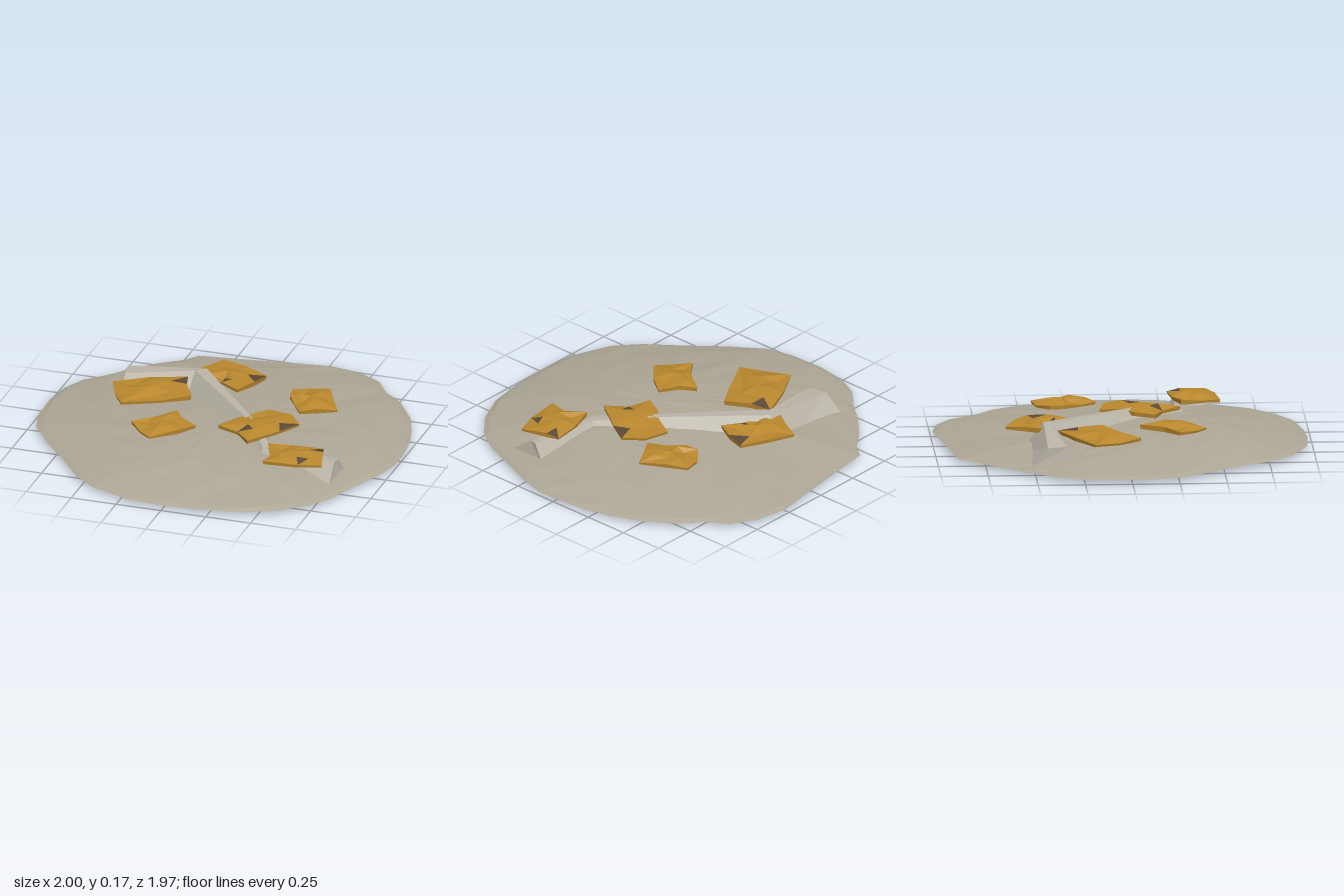
import * as THREE from 'three';

const mat = (name, color, side = THREE.FrontSide) => {
  const m = new THREE.MeshStandardMaterial({ color, side, flatShading: true });
  m.name = name;
  return m;
};

// small seeded noise in -1..1
function seeded(seed) {
  let s = seed;
  return () => ((s = (s * 16807) % 2147483647) / 2147483647) * 2 - 1;
}

function facets(points, faces) {
  const g = new THREE.BufferGeometry();
  g.setAttribute('position', new THREE.Float32BufferAttribute(points.flat(), 3));
  g.setIndex(faces.flat());
  const flat = g.toNonIndexed();
  flat.computeVertexNormals();
  return flat;
}

// outlines as x, z pairs, running clockwise seen from above
const pairs = (a) => Array.from({ length: a.length / 2 }, (_, i) => [a[2 * i], a[2 * i + 1]]);

const MOUND = pairs([
  -0.43, -0.89, -0.1, -0.935, 0.1, -0.965, 0.27, -0.99, 0.44, -0.96, 0.58, -0.88, 0.66, -0.76, 0.76, -0.68,
  0.88, -0.5, 0.94, -0.35, 0.98, -0.2, 1, -0.03, 1, 0.1, 0.96, 0.25, 0.89, 0.42, 0.82, 0.6, 0.74, 0.73,
  0.6, 0.85, 0.43, 0.93, 0.2, 0.97, 0, 0.98, -0.2, 0.965, -0.42, 0.88, -0.55, 0.77, -0.68, 0.6,
  -0.83, 0.42, -0.95, 0.25, -0.99, 0.1, -0.995, -0.1, -0.97, -0.27, -0.91, -0.4, -0.86, -0.45, -0.79, -0.52,
  -0.72, -0.61, -0.6, -0.73, -0.48, -0.82]);

const CHIPS = [
  [-0.2, -0.63, -0.05, -0.57, 0.08, -0.5, 0.05, -0.39, -0.01, -0.28, -0.12, -0.35, -0.26, -0.38, -0.3, -0.44, -0.25, -0.52],
  [-0.67, -0.18, -0.5, -0.28, -0.31, -0.36, -0.28, -0.25, -0.21, -0.12, -0.35, -0.03, -0.54, 0.07, -0.61, -0.04],
  [0.27, -0.37, 0.35, -0.44, 0.45, -0.46, 0.5, -0.35, 0.57, -0.22, 0.47, -0.17, 0.39, -0.12, 0.34, -0.2, 0.28, -0.29],
  [-0.41, 0.28, -0.31, 0.21, -0.22, 0.08, -0.17, 0.16, -0.07, 0.22, -0.14, 0.32, -0.26, 0.43, -0.33, 0.37],
  [0.22, -0.11, 0.36, -0.08, 0.44, 0.02, 0.37, 0.14, 0.25, 0.32, 0.16, 0.22, 0.04, 0.18, 0.1, 0.07, 0.17, 0],
  [0.37, 0.33, 0.5, 0.29, 0.66, 0.27, 0.68, 0.34, 0.72, 0.48, 0.6, 0.52, 0.41, 0.54, 0.42, 0.45],
].map(pairs);

// bridges closed rings of n points, listed from the centre outward
function bridge(ringA, ringB, n) {
  const f = [];
  for (let i = 0; i < n; i++) {
    const j = (i + 1) % n;
    f.push([ringA + i, ringB + j, ringB + i], [ringA + i, ringA + j, ringB + j]);
  }
  return f;
}

// low hollow dome: rings shrinking toward an apex, with a small undercut lip
function moundGeometry() {
  const rnd = seeded(11), n = MOUND.length, cx = 0, cz = 0.22;
  const rings = [[0.25, 0.109], [0.42, 0.098], [0.58, 0.084], [0.74, 0.066], [0.88, 0.047], [0.96, 0.034], [1, 0.022], [0.96, 0.017]];
  const pts = [[cx, 0.115, cz]], faces = [];
  rings.forEach(([t, y], r) => {
    const wobble = r < 6 ? 0.003 : 0.001;
    MOUND.forEach(([x, z]) => {
      const s = r < 6 ? t + rnd() * 0.015 : t;
      pts.push([cx + (x - cx) * s, y + rnd() * wobble, cz + (z - cz) * s]);
    });
    if (r > 0) faces.push(...bridge(1 + (r - 1) * n, 1 + r * n, n));
  });
  for (let i = 0; i < n; i++) faces.push([0, 1 + (i + 1) % n, 1 + i]);
  return facets(pts, faces);
}

// open-bottomed ridge: each section is back foot, back top, front top, front foot, top height
function veinGeometry() {
  const sections = [
    [[-0.69, -0.56], [-0.67, -0.43], [-0.65, -0.33], [-0.64, -0.2], 0.13],
    [[-0.18, -0.56], [-0.23, -0.43], [-0.28, -0.39], [-0.3, -0.22], 0.175],
    [[0.3, 0.02], [0.215, 0.08], [0.195, 0.1], [0.08, 0.16], 0.155],
    [[0.43, 0.2], [0.37, 0.29], [0.34, 0.32], [0.29, 0.41], 0.12],
    [[0.79, 0.25], [0.765, 0.34], [0.755, 0.38], [0.77, 0.55], 0.125],
  ];
  const pts = [], faces = [];
  sections.forEach(([a, b, c, d, y], s) => {
    pts.push([a[0], 0, a[1]], [b[0], y, b[1]], [c[0], y, c[1]], [d[0], 0, d[1]]);
    if (s === 0) return;
    const p = (s - 1) * 4, q = s * 4;
    for (let k = 0; k < 3; k++) {
      faces.push([p + k, p + k + 1, q + k], [p + k + 1, q + k + 1, q + k]);
    }
  });
  const e = pts.length - 4;
  faces.push([0, 2, 1], [0, 3, 2], [e, e + 1, e + 2], [e, e + 2, e + 3]);
  return facets(pts, faces);
}

// lumpy flat-bottomed chip; a few top facets take the second material
function chipGeometry(outline, seed, darkCount) {
  const rnd = seeded(seed), n = outline.length;
  const cx = outline.reduce((a, p) => a + p[0], 0) / n;
  const cz = outline.reduce((a, p) => a + p[1], 0) / n;
  const pts = [];
  const ring = (t, y, wobble) => outline.forEach(([x, z]) => {
    pts.push([cx + (x - cx) * t, y + rnd() * wobble, cz + (z - cz) * t]);
  });
  ring(0.5, 0.157, 0.014);
  ring(1, 0.148, 0.01);
  ring(0.98, 0.13, 0.003);
  pts.push([cx, 0.168, cz], [cx, 0.128, cz]);
  const faces = [...bridge(0, n, n), ...bridge(n, 2 * n, n)];
  for (let i = 0; i < n; i++) {
    const j = (i + 1) % n;
    faces.push([3 * n, j, i], [3 * n + 1, 2 * n + i, 2 * n + j]);
  }
  // chosen facets move to the end so that they form one group
  const dark = [];
  for (let k = 0; k < darkCount; k++) dark.push(...faces.splice(4 + k * 4, 1));
  const g = facets(pts, [...faces, ...dark]);
  g.addGroup(0, faces.length * 3, 0);
  g.addGroup(faces.length * 3, dark.length * 3, 1);
  return g;
}

export function createModel() {
  const stone = mat('mound stone', 0xaea796, THREE.DoubleSide);
  const paleStone = mat('vein stone', 0xbab4a8, THREE.DoubleSide);
  const gold = mat('gold ore', 0xba882e);
  const dark = mat('dark ore', 0x5c4a38);

  const model = new THREE.Group();
  model.name = 'oreDeposit';
  const add = (name, geometry, material) => {
    const mesh = new THREE.Mesh(geometry, material);
    mesh.name = name;
    model.add(mesh);
  };
  add('mound', moundGeometry(), stone);
  add('stoneVein', veinGeometry(), paleStone);
  const darkFacets = [2, 1, 0, 0, 2, 2];
  CHIPS.forEach((o, i) => add('oreChip' + (i + 1), chipGeometry(o, 101 + i * 977, darkFacets[i]), [gold, dark]));
  return model;
}
